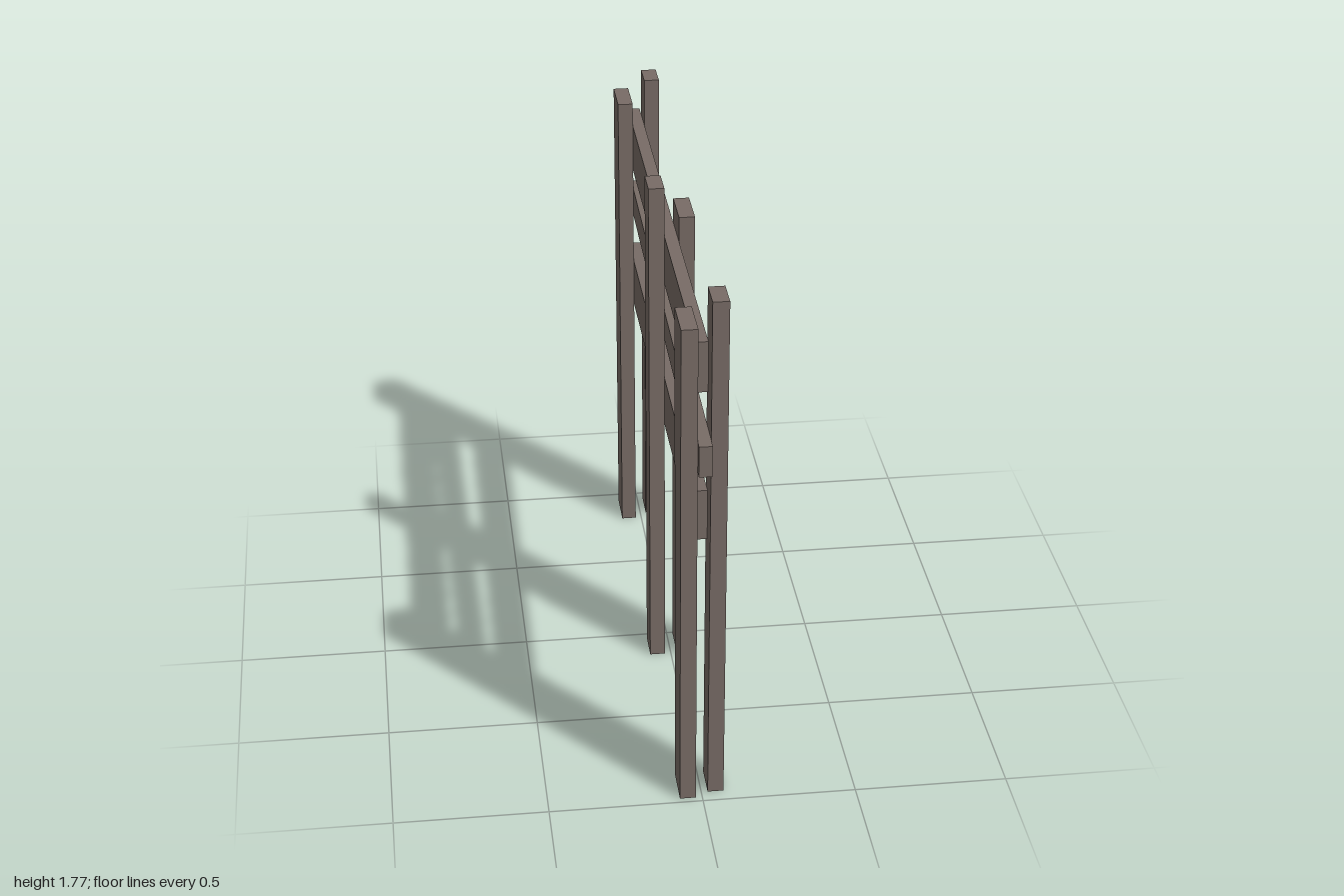
import * as THREE from 'three';

// Six-sided beam whose two end edges are given along one axis; corners are moved by a rule.
function slantedBox(xMin, xMax, corner) {
  const geo = new THREE.BoxGeometry(1, 1, 1);
  const p = geo.attributes.position;
  for (let i = 0; i < p.count; i++) {
    const [y, z] = corner(p.getY(i) > 0, p.getZ(i) > 0);
    p.setXYZ(i, p.getX(i) > 0 ? xMax : xMin, y, z);
  }
  return geo;
}

export function createModel() {
  const fence = new THREE.Group();
  fence.name = 'fence';
  const wood = new THREE.MeshStandardMaterial({ color: 0x786c66, side: THREE.DoubleSide });
  wood.name = 'weathered wood';
  const INNER = 0.021, OUTER = 0.073;

  function add(name, geo) {
    const faceted = geo.toNonIndexed();
    faceted.computeVertexNormals();
    const mesh = new THREE.Mesh(faceted, wood);
    mesh.name = name;
    fence.add(mesh);
  }

  // Posts: side, height, bottom back/front z, top back/front z
  const posts = [
    ['frontPostLeft', 1, 1.775, 0.843, 0.953, 0.86, 0.967],
    ['frontPostRight', -1, 1.69, 0.85, 0.98, 0.815, 0.97],
    ['middlePostLeft', 1, 1.69, 0, 0.138, 0.01, 0.165],
    ['middlePostRight', -1, 1.775, 0.025, 0.132, 0.013, 0.12],
    ['backPostLeft', 1, 1.775, -0.955, -0.85, -0.938, -0.834],
    ['backPostRight', -1, 1.69, -0.95, -0.815, -0.985, -0.83],
  ];
  for (const [name, side, height, b0, b1, t0, t1] of posts) {
    const geo = slantedBox(side > 0 ? INNER : -OUTER, side > 0 ? OUTER : -INNER,
      (top, front) => [top ? height : 0, top ? (front ? t1 : t0) : (front ? b1 : b0)]);
    // The posts are open where they meet the ground
    const index = Array.from(geo.index.array);
    index.splice(18, 6);
    geo.setIndex(index);
    add(name, geo);
  }

  // Rails: back z, front z, bottom y at back and front, height
  const rails = [
    ['topRail', -1, 0.885, 1.435, 1.435, 0.17],
    ['middleRail', -0.9, 1, 1.262, 1.205, 0.105],
    ['lowerRail', -0.987, 0.89, 0.905, 0.921, 0.174],
  ];
  for (const [name, z0, z1, y0, y1, height] of rails) {
    add(name, slantedBox(-INNER, INNER,
      (top, front) => [(front ? y1 : y0) + (top ? height : 0), front ? z1 : z0]));
  }
  return fence;
}
